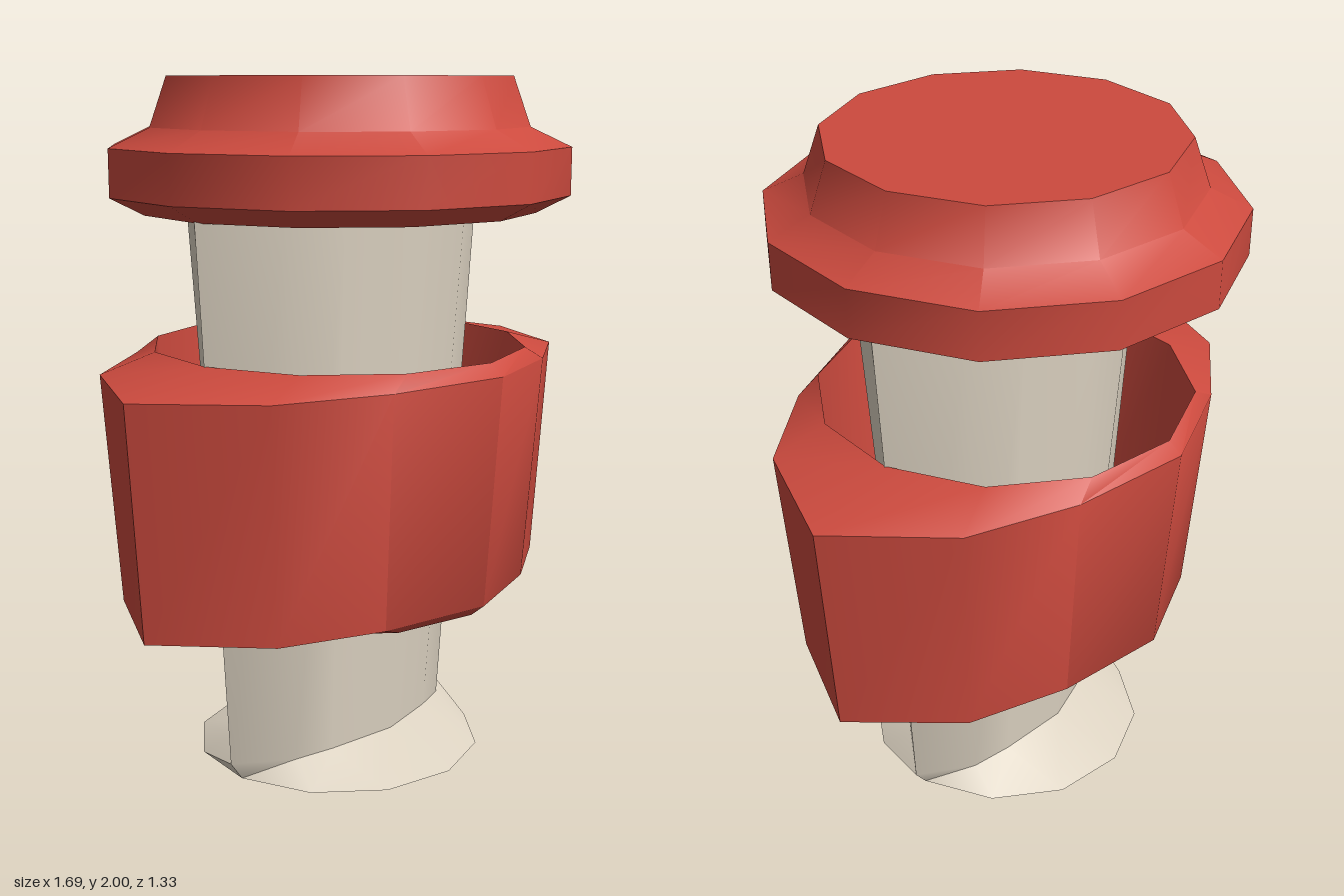
import * as THREE from 'three';
import { toCreasedNormals } from 'three/addons/utils/BufferGeometryUtils.js';

const SIDES = 12;

// Round twelve-sided ring.
function circle(r, y) {
  return Array.from({ length: SIDES }, (_, i) => {
    const a = (i / SIDES) * Math.PI * 2;
    return new THREE.Vector3(r * Math.cos(a), y, r * Math.sin(a));
  });
}

// Flattened ring: four corners of one quarter [x, z], mirrored, then grown radially.
function flatRing(quarter, grow, yTip, yFront) {
  return circle(1, 0).map((p, i) => {
    const k = i % 6 <= 3 ? i % 6 : 6 - (i % 6);
    const [x, z] = quarter[k];
    const sx = Math.abs(p.x) < 1e-6 ? 0 : Math.sign(p.x);
    const sz = Math.abs(p.z) < 1e-6 ? 0 : Math.sign(p.z);
    const y = THREE.MathUtils.lerp(yTip, yFront, k / 3);
    return new THREE.Vector3(sx * x + grow * p.x, y, sz * z + grow * p.z);
  });
}

// Skin a row of rings; outer walls run upward.
function loft(rings) {
  const pos = [];
  const tri = (a, b, c) => {
    if (a.distanceTo(b) < 1e-5 || b.distanceTo(c) < 1e-5 || a.distanceTo(c) < 1e-5) return;
    for (const v of [a, b, c]) pos.push(v.x, v.y, v.z);
  };
  for (let i = 0; i < rings.length - 1; i++) {
    for (let j = 0; j < SIDES; j++) {
      const n = (j + 1) % SIDES;
      const a = rings[i][j], b = rings[i][n], c = rings[i + 1][j], d = rings[i + 1][n];
      tri(a, c, b);
      tri(b, c, d);
    }
  }
  const g = new THREE.BufferGeometry();
  g.setAttribute('position', new THREE.Float32BufferAttribute(pos, 3));
  return toCreasedNormals(g, 0.82);
}

export function createModel() {
  const cream = new THREE.MeshStandardMaterial({ name: 'cream', color: 0xddd3c2 });
  const red = new THREE.MeshStandardMaterial({ name: 'red', color: 0xcc4a3e });
  const model = new THREE.Group();
  model.name = 'takeawayCup';
  const add = (name, rings, material) => {
    const mesh = new THREE.Mesh(loft(rings), material);
    mesh.name = name;
    model.add(mesh);
  };

  // Cup: flattened tapering body on a round foot
  const cupQuarter = [[0.58, 0], [0.43, 0.18], [0.27, 0.258], [0, 0.315]];
  add('cup', [
    circle(0, 0),
    circle(0.43, 0),
    flatRing(cupQuarter, -0.105, 0.06, 0.075),
    flatRing(cupQuarter, 0, 1.62, 1.62),
    flatRing(cupQuarter, 0.01, 1.82, 1.82),
  ], cream);

  // Sleeve: pointed outer wall around a round opening
  const sleeveQuarter = [[0.845, 0], [0.64, 0.325], [0.35, 0.49], [0, 0.59]];
  add('sleeve', [
    circle(0.5, 0.5),
    flatRing(sleeveQuarter, -0.048, 0.515, 0.535),
    flatRing(sleeveQuarter, 0, 1.18, 1.2),
    circle(0.55, 1.235),
    circle(0.5, 0.5),
  ], red);

  // Lid: hollow underneath, stepped above
  const lidProfile = [
    [0, 1.8], [0.6, 1.8], [0.57, 1.62], [0.667, 1.67],
    [0.667, 1.805], [0.55, 1.86], [0.5, 2], [0, 2],
  ];
  add('lid', lidProfile.map(([r, y]) => circle(r, y)), red);

  return model;
}
